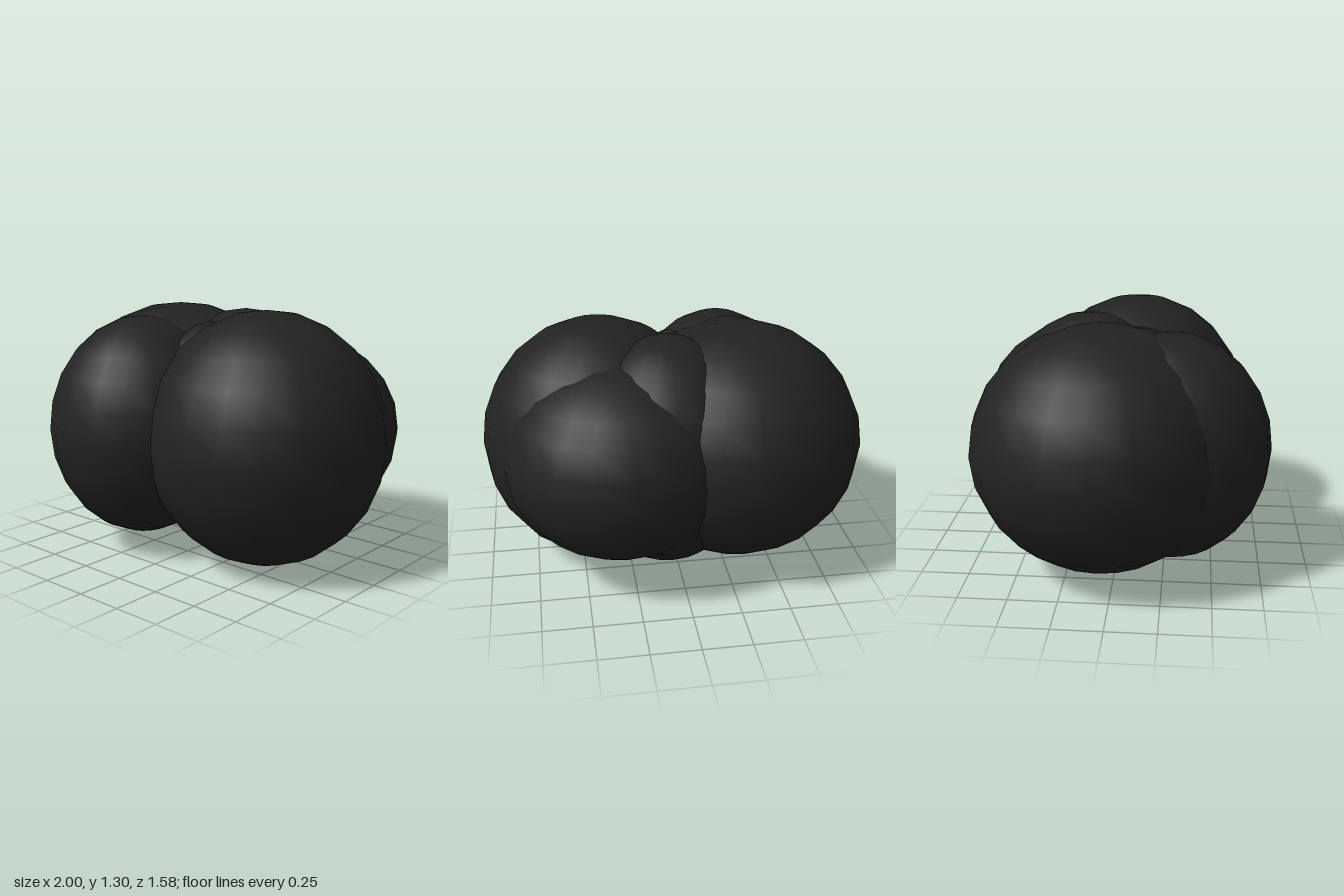
import * as THREE from 'three';

export function createModel() {
  const model = new THREE.Group();
  model.name = 'puffCluster';

  const charcoal = new THREE.MeshStandardMaterial({ color: 0x222222 });
  charcoal.name = 'charcoal';

  // One shared low-segment ball, smooth shaded, stretched for every lobe
  const ball = new THREE.SphereGeometry(1, 20, 12);

  // name, centre [x, y, z], radii [x, y, z]
  const lobes = [
    ['frontRightLobe', [0.38, 0.65, 0.07], [0.62, 0.65, 0.61]],
    ['leftLobe', [-0.335, 0.66, -0.07], [0.665, 0.625, 0.67]],
    ['backLobe', [0.29, 0.655, -0.205], [0.61, 0.52, 0.585]],
    ['frontLobe', [-0.29, 0.66, 0.265], [0.48, 0.585, 0.52]],
    ['middleLobe', [0.05, 0.657, -0.17], [0.49, 0.613, 0.49]],
    // Small fillers that just break the surface between the big lobes
    ['sideFiller', [-0.32, 0.66, 0.08], [0.45, 0.612, 0.4]],
    ['centreFiller', [0, 0.655, 0.05], [0.25, 0.56, 0.45]],
  ];

  for (const [name, centre, radii] of lobes) {
    const lobe = new THREE.Mesh(ball, charcoal);
    lobe.name = name;
    lobe.position.set(...centre);
    lobe.scale.set(...radii);
    model.add(lobe);
  }

  return model;
}
